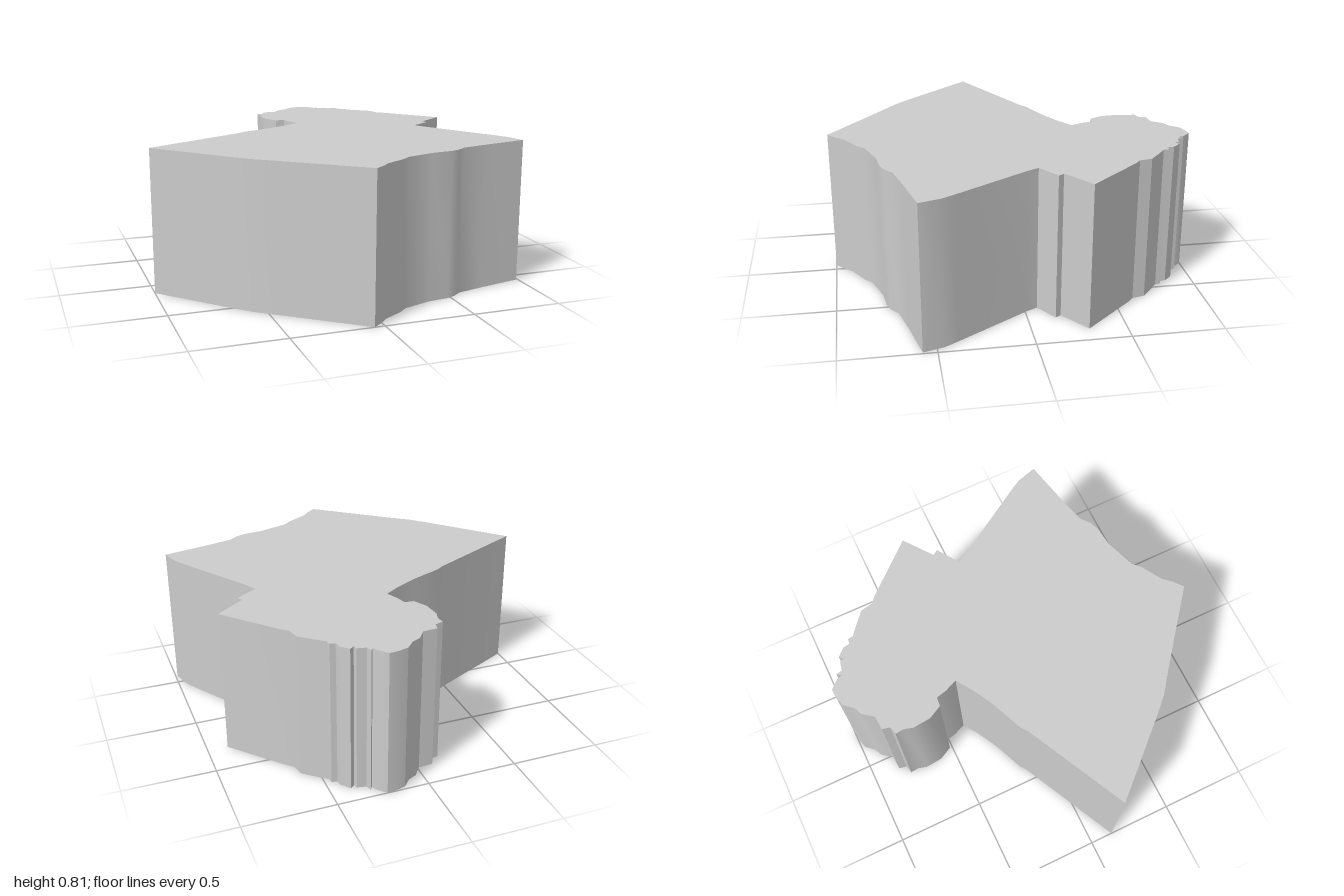
import * as THREE from 'three';
import { toCreasedNormals } from 'three/addons/utils/BufferGeometryUtils.js';

const HEIGHT = 0.81;

// Plan outline as [x, z] pairs, one stretch of edge at a time
const backLeftEdge = [
  [-1, 0.13], [-0.44, -0.15], [-0.4, -0.18], [-0.22, -0.255], [-0.1, -0.32], [-0.01, -0.38],
];
const scallopedLobe = [
  [-0.04, -0.45], [-0.055, -0.51], [-0.105, -0.515], [-0.145, -0.59], [-0.155, -0.69],
  [-0.14, -0.74], [-0.145, -0.79], [-0.1, -0.8], [-0.09, -0.845], [-0.01, -0.85],
  [0.035, -0.91], [0.08, -0.93], [0.125, -0.98], [0.18, -0.995], [0.23, -1],
  [0.275, -0.95], [0.285, -0.92], [0.3, -0.945], [0.31, -0.91], [0.36, -0.9],
  [0.365, -0.875], [0.39, -0.895], [0.43, -0.85], [0.435, -0.815], [0.465, -0.81],
  [0.47, -0.78], [0.52, -0.74], [0.59, -0.68], [0.605, -0.61],
];
const notchedSide = [
  [0.64, -0.58], [0.89, -0.3], [0.73, -0.18], [0.75, -0.15], [0.63, -0.07],
  [0.66, -0.01], [0.91, 0.385], [0.955, 0.46], [0.99, 0.575],
];
const frontEdge = [
  [0.74, 0.63], [0.58, 0.67], [0.53, 0.71], [0.48, 0.73], [0.36, 0.745], [0.2, 0.8],
  [0.15, 0.845], [0.04, 0.91], [0, 0.955], [-0.055, 1],
  [-0.455, 0.68], [-0.565, 0.595], [-0.635, 0.525],
];

export function createModel() {
  const group = new THREE.Group();
  group.name = 'irregularBlock';

  // Solid prism: the plan outline pulled straight up
  const outline = [...backLeftEdge, ...scallopedLobe, ...notchedSide, ...frontEdge];
  const shape = new THREE.Shape(outline.map(([x, z]) => new THREE.Vector2(x, -z)));
  const prism = new THREE.ExtrudeGeometry(shape, { depth: HEIGHT, bevelEnabled: false });
  prism.rotateX(-Math.PI / 2);

  const block = new THREE.Mesh(
    toCreasedNormals(prism, THREE.MathUtils.degToRad(30)),
    new THREE.MeshStandardMaterial({ color: 0xcccccc })
  );
  block.name = 'extrudedBlock';
  group.add(block);
  return group;
}
